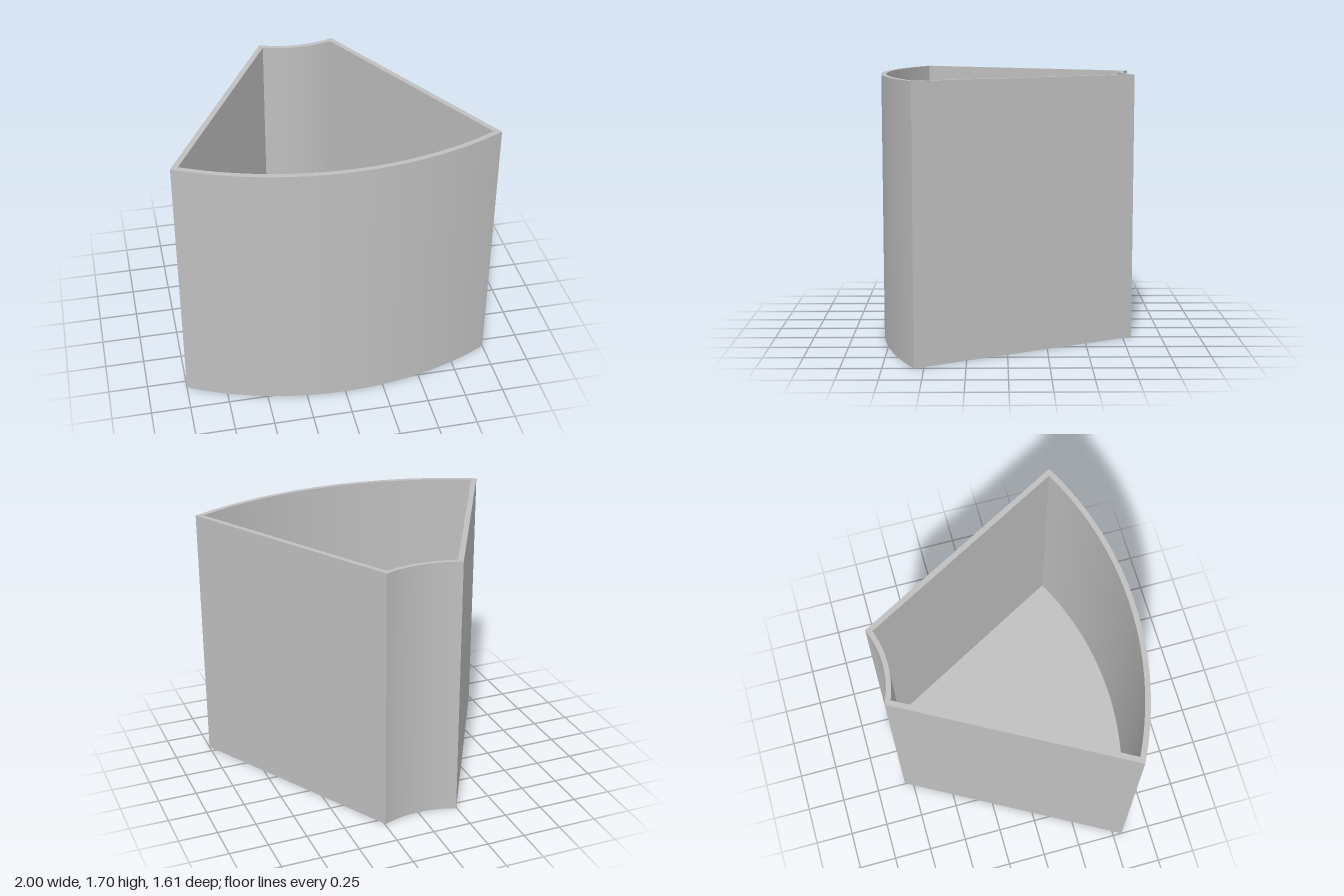
import * as THREE from 'three';
import { toCreasedNormals } from 'three/addons/utils/BufferGeometryUtils.js';

const HEIGHT = 1.7, FLOOR = 0.03, SEGMENTS = 40;

// Points from x = -half to +half on an arc bulging to the front
function arc(half, endZ, midZ) {
  const sag = midZ - endZ;
  const radius = (half * half + sag * sag) / (2 * sag);
  const sweep = Math.asin(half / radius);
  return Array.from({ length: SEGMENTS + 1 }, (_, i) => {
    const t = sweep * (2 * i / SEGMENTS - 1);
    // shape y is -z, so that the extrusion can be stood upright
    return new THREE.Vector2(radius * Math.sin(t), radius - midZ - radius * Math.cos(t));
  });
}

// Closed wedge outline: wide front arc, then narrow back arc
const wedge = (front, back) => [...arc(...front), ...arc(...back).reverse()];

function upright(shape, depth) {
  const geometry = new THREE.ExtrudeGeometry(shape, { depth, bevelEnabled: false });
  geometry.rotateX(-Math.PI / 2);
  return toCreasedNormals(geometry, 0.4);
}

export function createModel() {
  const group = new THREE.Group();
  group.name = 'wedgeBin';
  const grey = new THREE.MeshStandardMaterial({ color: 0xbfbfbf });
  grey.name = 'grey';

  const outer = wedge([1, 0.56, 0.805], [0.245, -0.807, -0.758]);
  const inner = wedge([0.952, 0.545, 0.772], [0.228, -0.766, -0.727]);

  // Thin walls, open at the top
  const ring = new THREE.Shape(outer);
  ring.holes.push(new THREE.Path(inner));
  const walls = new THREE.Mesh(upright(ring, HEIGHT), grey);
  walls.name = 'walls';

  // Floor set between the walls
  const floor = new THREE.Mesh(upright(new THREE.Shape(inner), FLOOR), grey);
  floor.name = 'floor';

  group.add(walls, floor);
  return group;
}
